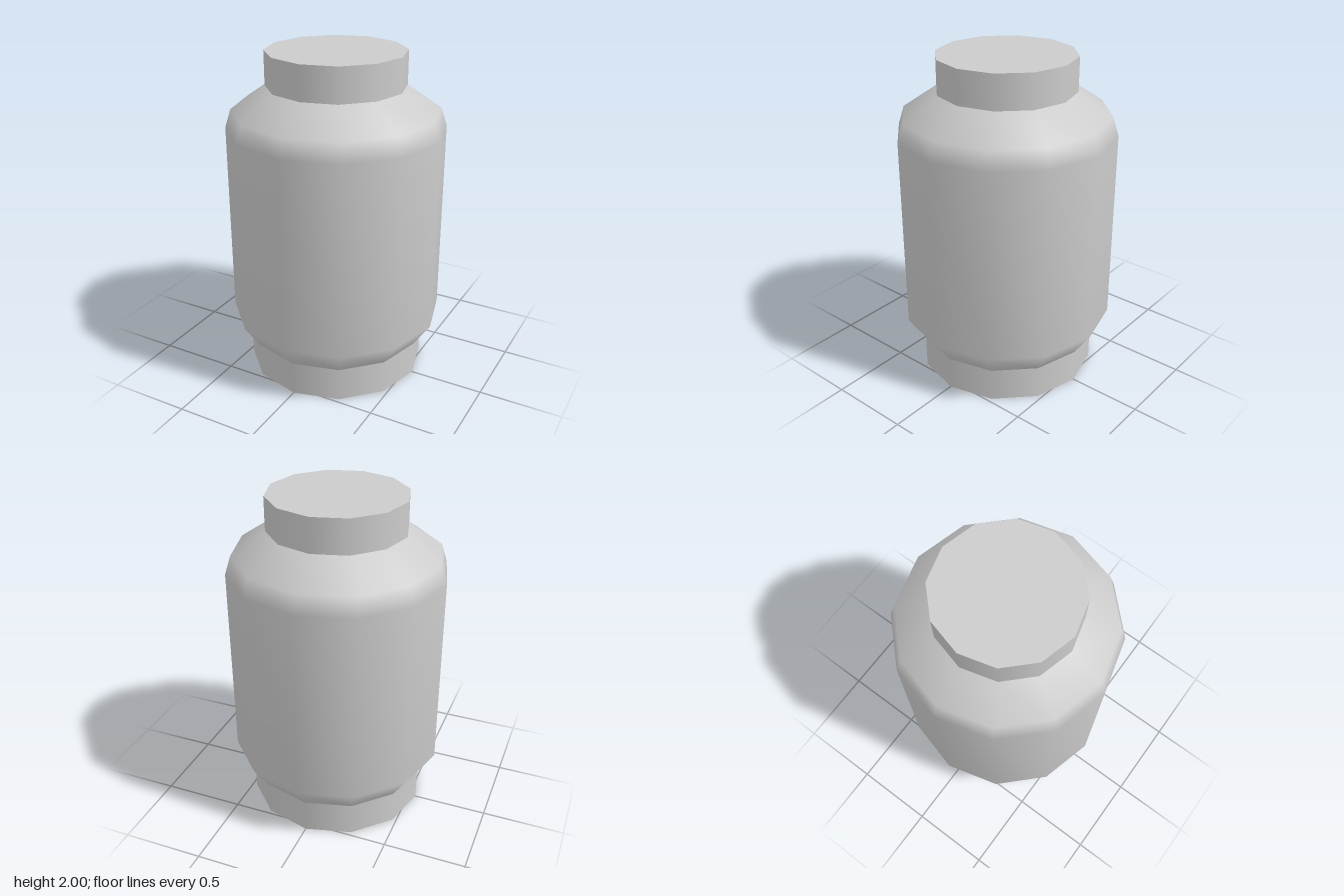
import * as THREE from 'three';

const SIDES = 12;

export function createModel() {
  const group = new THREE.Group();
  const material = new THREE.MeshStandardMaterial({ color: 0xcccccc });

  const add = (name, geometry, y = 0) => {
    const mesh = new THREE.Mesh(geometry, material);
    mesh.name = name;
    mesh.position.y = y;
    group.add(mesh);
  };

  // Closed twelve-sided disc standing between two heights
  const disc = (name, radius, bottom, top) =>
    add(name, new THREE.CylinderGeometry(radius, radius, top - bottom, SIDES), (bottom + top) / 2);

  disc('base', 0.547, 0, 0.21);
  disc('lid', 0.413, 1.795, 2);

  // Body with a tapered foot and sloping shoulder, smooth shaded
  const profile = [
    [0.547, 0.21], [0.652, 0.365], [0.652, 1.545], [0.617, 1.655], [0.413, 1.795],
  ].map(([r, y]) => new THREE.Vector2(r, y));
  add('body', new THREE.LatheGeometry(profile, SIDES));

  return group;
}
